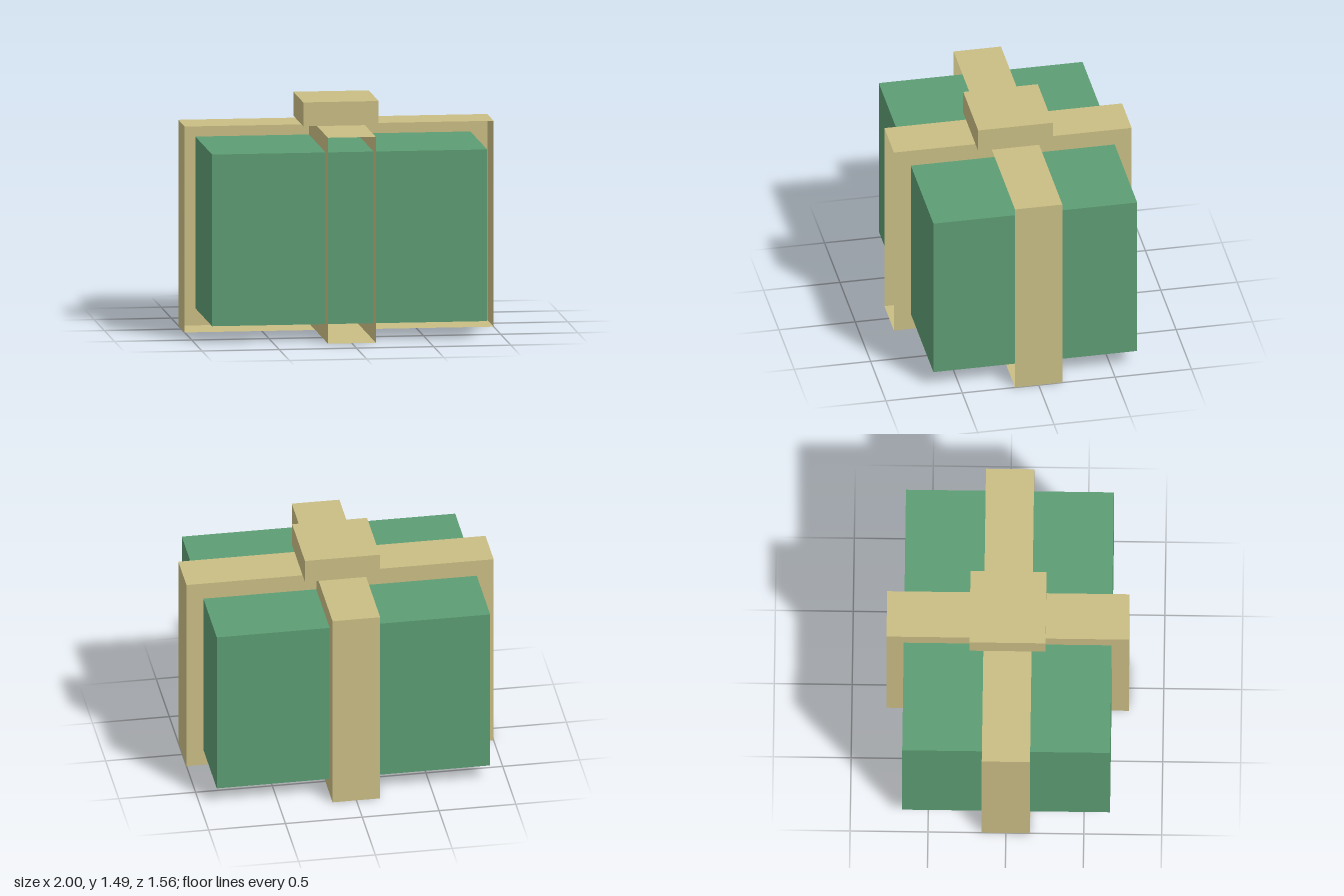
import * as THREE from 'three';

const wrap = new THREE.MeshStandardMaterial({ color: 0x5c9c73 });
wrap.name = 'green wrapping';
const ribbon = new THREE.MeshStandardMaterial({ color: 0xc9bd84, side: THREE.DoubleSide });
ribbon.name = 'tan ribbon';

// Box of the given size standing at height y
function block(name, w, h, d, y, material) {
  const mesh = new THREE.Mesh(new THREE.BoxGeometry(w, h, d), material);
  mesh.name = name;
  mesh.position.y = y + h / 2;
  return mesh;
}

// Ribbon band: a box shell left open on its front (+z) side
function band(name, w, d) {
  const mesh = block(name, w, 1.335, d, 0, ribbon);
  const index = Array.from(mesh.geometry.index.array);
  index.splice(24, 6); // the +z face
  mesh.geometry.setIndex(index);
  mesh.geometry.clearGroups();
  return mesh;
}

export function createModel() {
  const model = new THREE.Group();
  model.name = 'giftBox';
  model.add(
    block('box', 1.78, 1.113, 1.334, 0.111, wrap),
    band('ribbonAcross', 2, 0.31),
    band('ribbonFrontToBack', 0.31, 1.556),
    block('knot', 0.488, 0.155, 0.488, 1.335, ribbon)
  );
  return model;
}
